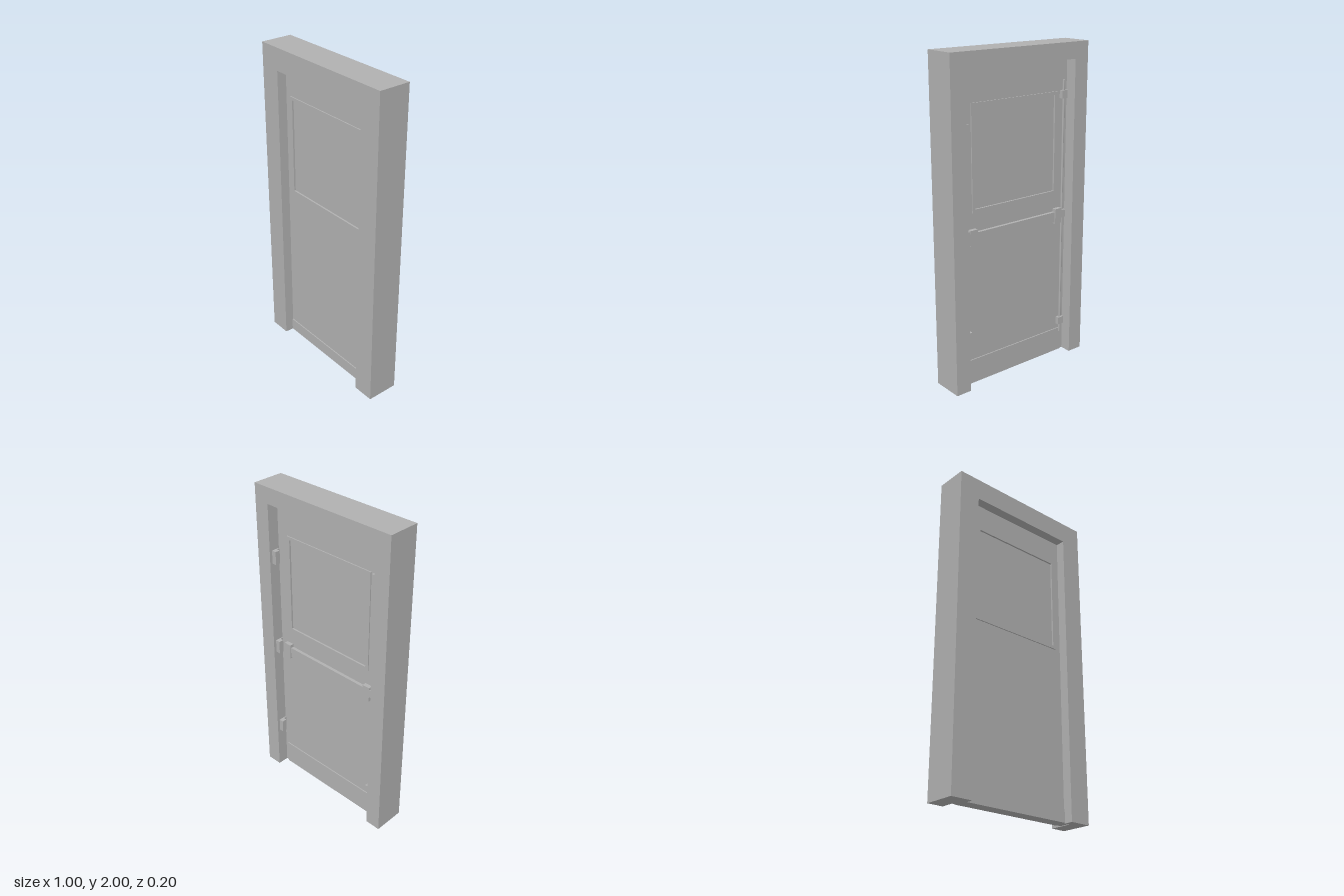
import * as THREE from 'three';

const grey = new THREE.MeshStandardMaterial({ color: 0xb0b0b0 });
grey.name = 'paintedMetal';

const FRONT = 0.04, BACK = -0.03; // door faces

function rectPoints(x, y0, y1) {
  return [[-x, y0], [x, y0], [x, y1], [-x, y1]].map(p => new THREE.Vector2(...p));
}

export function createModel() {
  const model = new THREE.Group();

  function add(name, geometry) {
    const mesh = new THREE.Mesh(geometry, grey);
    mesh.name = name;
    model.add(mesh);
    return mesh;
  }

  // box given by its limits on each axis
  function box(name, x0, x1, y0, y1, z0, z1) {
    const mesh = add(name, new THREE.BoxGeometry(x1 - x0, y1 - y0, z1 - z0));
    mesh.position.set((x0 + x1) / 2, (y0 + y1) / 2, (z0 + z1) / 2);
  }

  // rectangular plate with a rectangular hole
  function ring(name, outer, inner, z0, z1) {
    const shape = new THREE.Shape(rectPoints(...outer));
    shape.holes.push(new THREE.Path(rectPoints(...inner)));
    const geometry = new THREE.ExtrudeGeometry(shape, { depth: z1 - z0, bevelEnabled: false });
    geometry.translate(0, 0, z0);
    add(name, geometry);
  }

  // upside-down U of the door frame, open at the floor
  function surround(name, x, top, z0, z1) {
    const pts = [[-0.5, 0], [-x, 0], [-x, top], [x, top], [x, 0], [0.5, 0], [0.5, 2], [-0.5, 2]];
    const shape = new THREE.Shape(pts.map(p => new THREE.Vector2(...p)));
    const geometry = new THREE.ExtrudeGeometry(shape, { depth: z1 - z0, bevelEnabled: false });
    geometry.translate(0, 0, z0);
    add(name, geometry);
  }

  // frame: narrow front opening acts as the stop, wider rebate behind
  surround('frameStop', 0.362, 1.863, FRONT, 0.1);
  surround('frameRebate', 0.4, 1.9, -0.1, FRONT);

  // door leaf with window
  ring('doorLeaf', [0.398, 0.003, 1.898], [0.3, 1.1, 1.69], BACK, FRONT);
  box('windowPane', -0.3, 0.3, 1.1, 1.69, BACK + 0.004, FRONT - 0.004);
  ring('frontWindowTrim', [0.32, 1.08, 1.71], [0.3, 1.1, 1.69], FRONT, FRONT + 0.007);
  ring('backWindowTrim', [0.32, 1.08, 1.71], [0.3, 1.1, 1.69], BACK - 0.007, BACK);

  // bottom plates
  box('frontSweep', -0.36, 0.36, 0.003, 0.082, FRONT, FRONT + 0.007);
  box('backKickPlate', -0.375, 0.375, 0.003, 0.158, BACK - 0.007, BACK);

  // push bar with end brackets
  box('pushBar', -0.3, 0.3, 0.9, 0.965, BACK - 0.02, BACK);
  for (const side of [-1, 1]) {
    box('pushBarBracket', side * 0.325 - 0.025, side * 0.325 + 0.025, 0.89, 0.985, BACK - 0.026, BACK);
  }

  // vertical latch rod and its guides
  const rod = add('latchRod', new THREE.CylinderGeometry(0.007, 0.007, 1.64, 12));
  rod.position.set(-0.363, 0.955, BACK - 0.012);
  for (const y of [0.215, 0.945, 1.69]) {
    box('rodGuide', -0.385, -0.343, y - 0.024, y + 0.024, BACK - 0.024, BACK);
  }

  // hinges on the left jamb
  for (const y of [0.325, 0.95, 1.565]) {
    box('hinge', 0.37, 0.4, y - 0.042, y + 0.042, -0.082, -0.05);
    box('hingeLeaf', 0.392, 0.4, y - 0.042, y + 0.042, -0.05, BACK);
  }

  return model;
}
